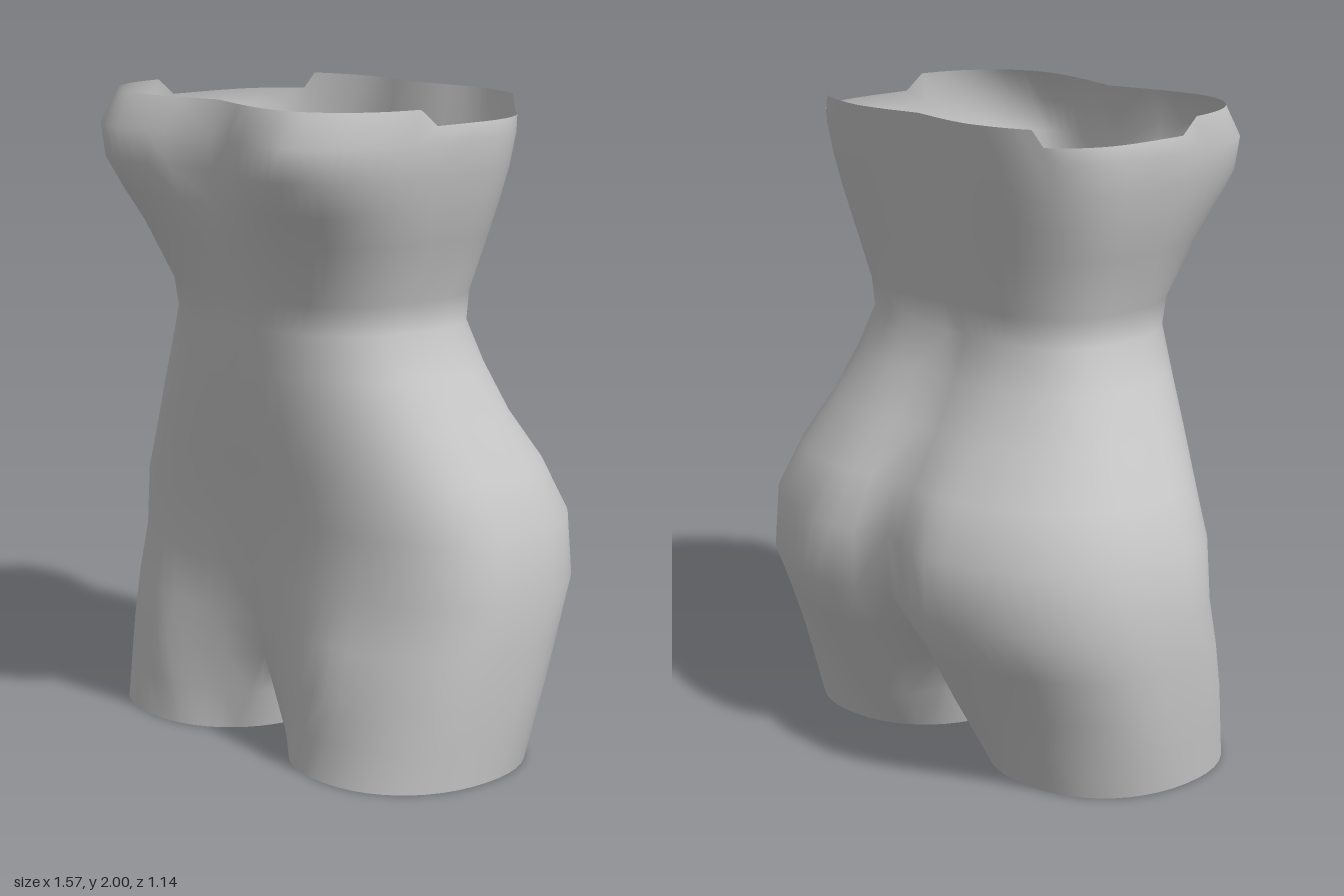
import * as THREE from 'three';
import { mergeVertices } from 'three/addons/utils/BufferGeometryUtils.js';

const OUTER = 36; // columns from centre front around the side to centre back
const INNER = 12; // columns of the inner thigh
const CROTCH_ROW = 2;

// Torso levels: y, half width, front z, front groove, back z, back groove,
// widest z, front squareness, back squareness
const LEVELS = [
  [0.25, 0.77, 0.42, 0.14, -0.43, 0.17, 0.0, 0.75, 0.75],
  [0.40, 0.78, 0.39, 0.08, -0.5, 0.13, -0.02, 0.77, 0.78],
  [0.55, 0.785, 0.355, 0.03, -0.585, 0.1, -0.04, 0.8, 0.82],
  [0.74, 0.765, 0.36, 0.02, -0.58, 0.09, -0.04, 0.8, 0.82],
  [0.90, 0.69, 0.375, 0.01, -0.5, 0.06, -0.03, 0.8, 0.8],
  [1.05, 0.61, 0.39, 0, -0.39, 0.04, 0, 0.8, 0.78],
  [1.20, 0.535, 0.4, 0, -0.315, 0.03, 0.02, 0.8, 0.74],
  [1.33, 0.475, 0.412, 0, -0.265, 0.02, 0.02, 0.8, 0.7],
  [1.42, 0.48, 0.425, 0.01, -0.275, 0.02, 0.02, 0.78, 0.7],
  [1.60, 0.545, 0.5, 0.04, -0.31, 0.02, 0.02, 0.72, 0.7],
  [1.70, 0.575, 0.555, 0.08, -0.33, 0.025, 0.02, 0.66, 0.68],
  [1.80, 0.6, 0.6, 0.125, -0.35, 0.03, 0.02, 0.6, 0.67],
  [1.90, 0.615, 0.605, 0.125, -0.37, 0.035, 0.02, 0.59, 0.67],
  [2.00, 0.605, 0.545, 0.1, -0.39, 0.04, 0.02, 0.62, 0.68],
];

// One side of a torso level, closed by a straight run along the centre line
function torsoRing([y, w, zf, dipF, zb, dipB, zc, pf, pb]) {
  const ring = [];
  for (let i = 0; i <= OUTER; i++) {
    const t = (i / OUTER) * Math.PI;
    const c = Math.cos(t);
    const front = c > 0;
    const p = front ? pf : pb;
    const x = i === 0 || i === OUTER ? 0 : w * Math.pow(Math.sin(t), p);
    const reach = Math.pow(Math.abs(c), p);
    const groove = Math.pow(Math.max(0, 1 - x / (front ? 0.4 : 0.24)), 1.2);
    const z = front ? zc + (zf - zc) * reach - dipF * groove
      : zc + (zb - zc) * reach + dipB * groove;
    // uneven upper rim, lower at the sides
    const rim = y === 2 && z < 0.17 && z > -0.31 ? 0.05 : 0;
    ring.push(new THREE.Vector3(x, y - rim, z));
  }
  const front = ring[0], back = ring[OUTER];
  for (let k = 1; k < INNER; k++) ring.push(back.clone().lerp(front, k / INNER).setX(0));
  return ring;
}

// Cut end of a leg, starting at its inner front
function legRing() {
  const ring = [];
  const total = OUTER + INNER;
  const soft = (v) => Math.sign(v) * Math.pow(Math.abs(v), 0.92);
  for (let i = 0; i < total; i++) {
    const deg = i <= OUTER ? -50 + (280 * i) / OUTER : 230 + (80 * (i - OUTER)) / INNER;
    const a = THREE.MathUtils.degToRad(deg);
    ring.push(new THREE.Vector3(0.4 + 0.343 * soft(Math.sin(a)), 0, 0.05 + 0.36 * soft(Math.cos(a))));
  }
  return ring;
}

function buildRows() {
  const torso = LEVELS.map(torsoRing);
  // the crotch arches up slightly towards front and back
  const crotch = torso[0];
  crotch.forEach((v) => {
    if (v.x < 0.01) v.y += (v.z > 0 ? 0.02 : 0.06) * Math.pow(Math.abs(v.z) / 0.27, 2);
  });
  const leg = legRing();
  const middle = leg.map((v, i) => v.clone().lerp(crotch[i], 0.5));
  return [leg, middle, ...torso];
}

function bodyGeometry() {
  const rows = buildRows();
  const count = OUTER + INNER;
  const positions = [];
  const index = [];
  for (const side of [1, -1]) {
    const base = positions.length / 3;
    for (const row of rows) for (const v of row) positions.push(v.x * side, v.y, v.z);
    for (let j = 0; j < rows.length - 1; j++) {
      // above the crotch the two sides join, so only the outer columns are skinned
      const columns = j < CROTCH_ROW ? count : OUTER;
      for (let i = 0; i < columns; i++) {
        const n = (i + 1) % count;
        const a = base + j * count + i, b = base + j * count + n;
        const c = b + count, d = a + count;
        if (side > 0) index.push(a, b, c, a, c, d);
        else index.push(a, c, b, a, d, c);
      }
    }
  }
  let geometry = new THREE.BufferGeometry();
  geometry.setAttribute('position', new THREE.Float32BufferAttribute(positions, 3));
  geometry.setIndex(index);
  geometry = mergeVertices(geometry, 1e-4);
  geometry.computeVertexNormals();
  return geometry;
}

export function createModel() {
  const group = new THREE.Group();
  group.name = 'torsoForm';
  const grey = new THREE.MeshStandardMaterial({ color: 0xc8c8c8, side: THREE.DoubleSide });
  grey.name = 'light grey';
  const body = new THREE.Mesh(bodyGeometry(), grey);
  body.name = 'torsoShell';
  group.add(body);
  return group;
}
